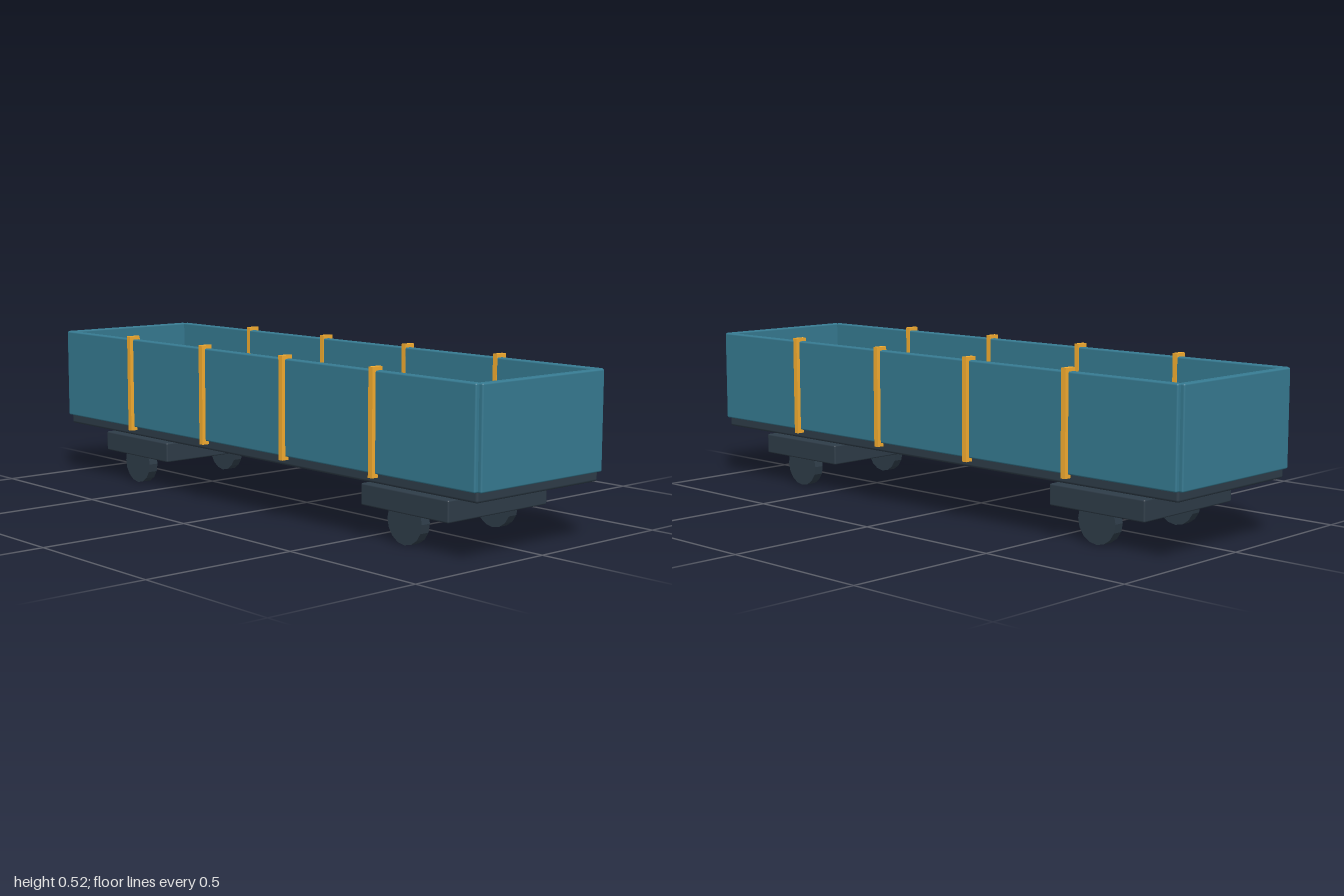
import * as THREE from 'three';
import { RoundedBoxGeometry } from 'three/addons/geometries/RoundedBoxGeometry.js';

const teal = new THREE.MeshStandardMaterial({ color: 0x367a91 });
const dark = new THREE.MeshStandardMaterial({ color: 0x2e3c48 });
const darkFlat = new THREE.MeshStandardMaterial({ color: 0x2e3c48, flatShading: true });
const amber = new THREE.MeshStandardMaterial({ color: 0xf5ad30 });

function add(parent, name, geometry, material, x, y, z) {
  const mesh = new THREE.Mesh(geometry, material);
  mesh.name = name;
  mesh.position.set(x, y, z);
  parent.add(mesh);
  return mesh;
}

export function createModel() {
  const wagon = new THREE.Group();
  wagon.name = 'openWagon';

  // Thick floor slab, the walls rise from its edges
  add(wagon, 'floor', new RoundedBoxGeometry(1.97, 0.061, 0.509, 2, 0.008), dark, 0, 0.207, 0);

  // Side and end walls around the open load space
  const sideWall = new RoundedBoxGeometry(1.974, 0.298, 0.026, 2, 0.005);
  const endWall = new RoundedBoxGeometry(0.026, 0.298, 0.509, 2, 0.005);
  for (const s of [1, -1]) {
    add(wagon, s > 0 ? 'frontWall' : 'backWall', sideWall, teal, 0, 0.356, s * 0.254);
    add(wagon, s > 0 ? 'leftEndWall' : 'rightEndWall', endWall, teal, s * 0.987, 0.356, 0);
  }

  // Upright stakes passing through the side walls
  const stake = new THREE.BoxGeometry(0.017, 0.32, 0.04);
  for (const x of [-0.592, -0.197, 0.197, 0.592]) {
    for (const s of [1, -1]) add(wagon, 'stake', stake, amber, x, 0.356, s * 0.2595);
  }

  // A bogie under each end: frame block and one pair of wheels
  const frame = new RoundedBoxGeometry(0.356, 0.066, 0.418, 2, 0.005);
  const wheel = new THREE.CylinderGeometry(0.07, 0.07, 0.033, 16).rotateX(Math.PI / 2);
  for (const s of [1, -1]) {
    const bogie = new THREE.Group();
    bogie.name = s > 0 ? 'leftBogie' : 'rightBogie';
    bogie.position.x = s * 0.657;
    add(bogie, 'bogieFrame', frame, dark, 0, 0.125, 0);
    for (const side of [1, -1]) add(bogie, 'wheel', wheel, darkFlat, 0, 0.07, side * 0.187);
    wagon.add(bogie);
  }
  return wagon;
}
